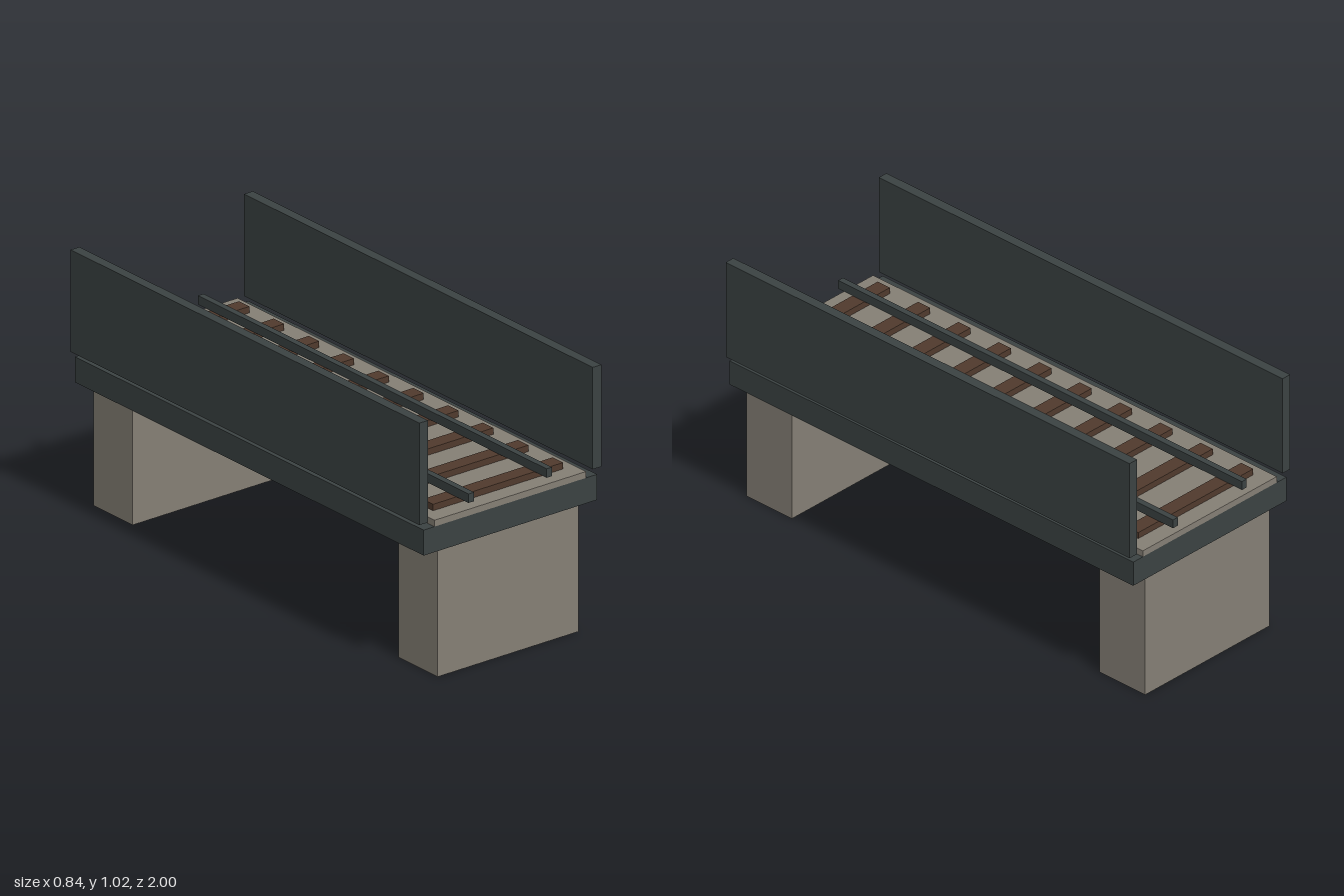
import * as THREE from 'three';

const material = (name, color) => {
  const m = new THREE.MeshStandardMaterial({ color });
  m.name = name;
  return m;
};

export function createModel() {
  const bridge = new THREE.Group();
  bridge.name = 'railwayBridge';

  const stone = material('stone', 0x857f75);
  const steel = material('darkSteel', 0x3b4242);
  const wood = material('brownWood', 0x503a2d);

  // Box placed by its bottom height
  const addBox = (name, mat, [w, h, d], x, bottom, z) => {
    const mesh = new THREE.Mesh(new THREE.BoxGeometry(w, h, d), mat);
    mesh.name = name;
    mesh.position.set(x, bottom + h / 2, z);
    bridge.add(mesh);
  };

  // Deck and ballast bed
  addBox('deck', steel, [0.8, 0.1, 2], 0, 0.5, 0);
  addBox('ballast', stone, [0.7, 0.025, 2], 0, 0.6, 0);

  // Piers, side walls and rails in mirrored pairs
  for (const [side, s] of [['left', 1], ['right', -1]]) {
    addBox(side + 'Wall', steel, [0.04, 0.4, 2], s * 0.4, 0.625, 0);
    addBox(side + 'Rail', steel, [0.025, 0.035, 2], s * 0.18, 0.65, 0);
  }
  for (const [end, s] of [['front', 1], ['back', -1]]) {
    addBox(end + 'Pier', stone, [0.65, 0.5, 0.225], 0, 0, s * 0.875);
  }

  // Sleepers
  for (let i = 0; i < 10; i++) {
    addBox('sleeper' + (i + 1), wood, [0.6, 0.025, 0.06], 0, 0.625, -0.9 + i * 0.2);
  }

  return bridge;
}
